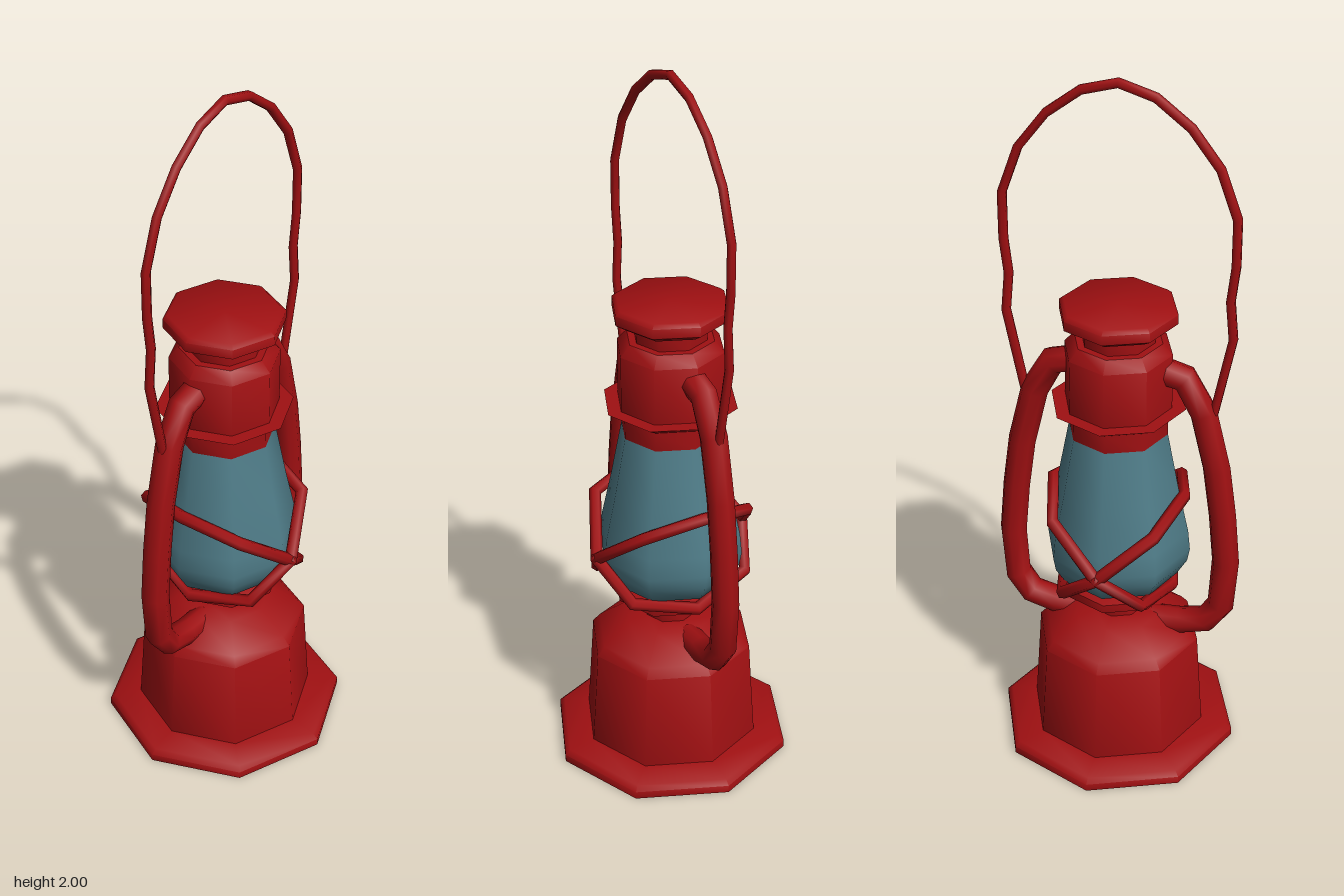
import * as THREE from 'three';
import { toCreasedNormals } from 'three/addons/utils/BufferGeometryUtils.js';

const red = new THREE.MeshStandardMaterial({ color: 0xa01012 });
const glassBlue = new THREE.MeshStandardMaterial({ color: 0x4f7c88 });

// Straight-segment path with mitred joints, sampled exactly at its corners
class Polyline extends THREE.Curve {
  constructor(points, closed = false) {
    super();
    this.points = points.map(([x, y, z = 0]) => new THREE.Vector3(x, y, z));
    this.closed = closed;
    this.count = closed ? points.length : points.length - 1;
  }
  corner(i) {
    const n = this.points.length;
    return this.points[this.closed ? (i + n) % n : THREE.MathUtils.clamp(i, 0, n - 1)];
  }
  getPointAt(u, target = new THREE.Vector3()) {
    return target.copy(this.corner(Math.round(u * this.count)));
  }
  getTangentAt(u, target = new THREE.Vector3()) {
    const i = Math.round(u * this.count);
    const p = this.corner(i);
    const before = p.clone().sub(this.corner(i - 1)).normalize();
    const after = this.corner(i + 1).clone().sub(p).normalize();
    return target.copy(before.add(after)).normalize();
  }
}

function tube(name, points, radius, sides, closed = false) {
  const path = new Polyline(points, closed);
  const mesh = new THREE.Mesh(new THREE.TubeGeometry(path, path.count, radius, sides, closed), red);
  mesh.name = name;
  return mesh;
}

// Eight-sided turned part, profile given as [radius, height] from bottom to top
function turned(name, profile, material = red) {
  const lathe = new THREE.LatheGeometry(profile.map(([r, y]) => new THREE.Vector2(r, y)), 8);
  const mesh = new THREE.Mesh(toCreasedNormals(lathe, 0.85), material);
  mesh.name = name;
  return mesh;
}

export function createModel() {
  const lantern = new THREE.Group();
  lantern.name = 'lantern';

  // Fuel tank with flared foot, domed shoulder and neck
  lantern.add(turned('fuelTank', [
    [0, 0], [0.34, 0], [0.34, 0.022], [0.325, 0.035], [0.25, 0.045],
    [0.231, 0.33], [0.21, 0.355], [0.13, 0.415], [0.075, 0.42], [0.075, 0.47],
  ]));
  lantern.add(turned('burnerCollar', [
    [0.07, 0.46], [0.16, 0.495], [0.16, 0.52], [0.13, 0.53], [0, 0.53],
  ]));

  // Glass globe
  lantern.add(turned('glass', [
    [0.12, 0.52], [0.168, 0.55], [0.197, 0.6], [0.204, 0.64], [0.198, 0.7], [0.17, 0.83], [0.134, 1.02],
  ], glassBlue));

  // Chimney with drip flange, and the cap above it
  lantern.add(turned('chimney', [
    [0, 1.005], [0.137, 1.005], [0.137, 1.06], [0.185, 1.09], [0.147, 1.09],
    [0.147, 1.25], [0.12, 1.28], [0.1, 1.28], [0.1, 1.33],
  ]));
  lantern.add(turned('cap', [
    [0.1, 1.32], [0.13, 1.325], [0.16, 1.345], [0.16, 1.372], [0.148, 1.382], [0, 1.382],
  ]));

  for (const side of [-1, 1]) {
    // Side tube running from tank shoulder to chimney
    lantern.add(tube(side > 0 ? 'leftSideTube' : 'rightSideTube', [
      [0.1, 0.385], [0.18, 0.39], [0.255, 0.41], [0.295, 0.47], [0.305, 0.62],
      [0.292, 0.77], [0.272, 0.92], [0.232, 1.09], [0.18, 1.185], [0.1, 1.205],
    ].map(([x, y]) => [side * x, y]), 0.038, 8));

    // Tilted guard ring; the two cross at front and back
    const half = [[0.14, 0.775, 0.16], [0, 0.655, 0.228], [-0.11, 0.555, 0.175]];
    const ring = [
      [0.185, 0.815, 0], ...half, [-0.155, 0.51, 0],
      ...half.map(([x, y, z]) => [x, y, -z]).reverse(),
    ];
    lantern.add(tube(side > 0 ? 'guardRingA' : 'guardRingB',
      ring.map(([x, y, z]) => [side * x, y, z]), 0.018, 6, true));
  }

  // Wire carrying handle
  const arm = [
    [0.26, 1.09], [0.305, 1.32], [0.295, 1.43], [0.306, 1.53],
    [0.306, 1.66], [0.26, 1.79], [0.185, 1.89], [0.095, 1.96],
  ];
  lantern.add(tube('handle', [
    ...arm, [0, 1.988], ...arm.map(([x, y]) => [-x, y]).reverse(),
  ], 0.013, 6));

  return lantern;
}
